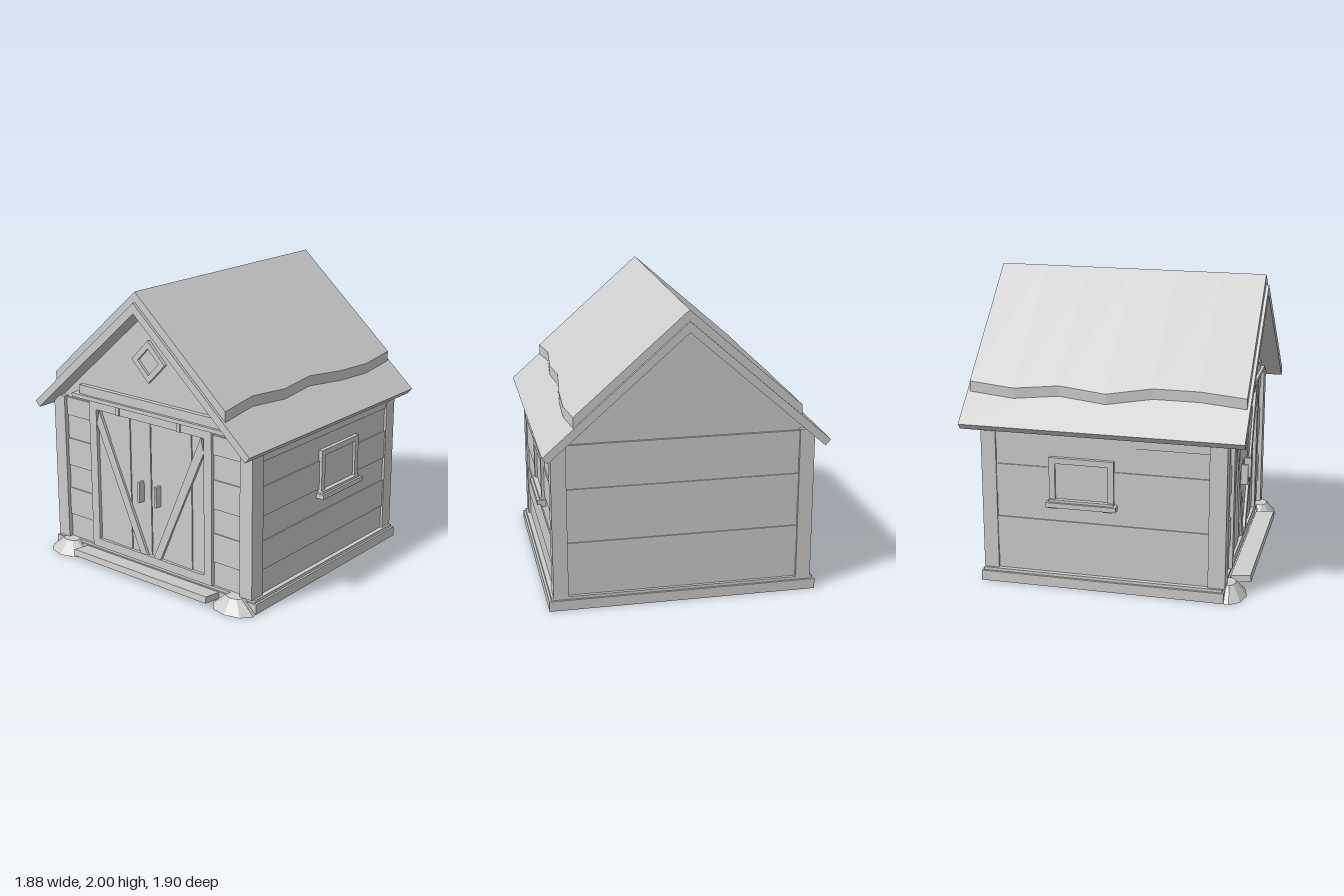
import * as THREE from 'three';

const grey = new THREE.MeshStandardMaterial({ color: 0xcccccc, flatShading: true });
grey.name = 'plain grey';

const SLOPE = 0.878;

function add(parent, name, geometry) {
  const mesh = new THREE.Mesh(geometry, grey);
  mesh.name = name;
  parent.add(mesh);
  return mesh;
}

// Box from its limits on each axis
function box(parent, name, x0, x1, y0, y1, z0, z1) {
  const mesh = add(parent, name, new THREE.BoxGeometry(Math.abs(x1 - x0), y1 - y0, Math.abs(z1 - z0)));
  mesh.position.set((x0 + x1) / 2, (y0 + y1) / 2, (z0 + z1) / 2);
  return mesh;
}

// Outline in x and y, extruded from z0 to z1
function prism(parent, name, points, z0, z1, hole) {
  const shape = new THREE.Shape(points.map(([x, y]) => new THREE.Vector2(x, y)));
  if (hole) shape.holes.push(new THREE.Path(hole.map(([x, y]) => new THREE.Vector2(x, y))));
  const geometry = new THREE.ExtrudeGeometry(shape, { depth: z1 - z0, bevelEnabled: false });
  const mesh = add(parent, name, geometry);
  mesh.position.z = z0;
  return mesh;
}

const rect = (x0, x1, y0, y1) => [[x0, y0], [x1, y0], [x1, y1], [x0, y1]];
const diamond = (r) => [[0, 1.515 - r], [r, 1.515], [0, 1.515 + r], [-r, 1.515]];

// Thick upper roof layer: cross-sections along z, with a wavy lower edge on each side
function upperRoof(zs, left, right) {
  const positions = [];
  const index = [];
  zs.forEach((z, i) => {
    const l = left[i], r = right[i];
    positions.push(-l, 1.925 - SLOPE * l, z, -l, 2 - SLOPE * l, z, 0, 2, z,
      r, 2 - SLOPE * r, z, r, 1.925 - SLOPE * r, z, 0, 1.925, z);
  });
  const n = 6;
  for (let i = 0; i < zs.length - 1; i++) {
    for (let j = 0; j < n; j++) {
      const a = i * n + j, b = i * n + (j + 1) % n;
      index.push(a, b + n, b, a, a + n, b + n);
    }
  }
  const e = (zs.length - 1) * n;
  for (const [a, b, c] of [[0, 1, 2], [0, 2, 5], [5, 2, 3], [5, 3, 4]]) {
    index.push(a, b, c, e + a, e + c, e + b);
  }
  const geometry = new THREE.BufferGeometry();
  geometry.setAttribute('position', new THREE.Float32BufferAttribute(positions, 3));
  geometry.setIndex(index);
  const flat = geometry.toNonIndexed();
  flat.computeVertexNormals();
  return flat;
}

export function createModel() {
  const model = new THREE.Group();
  model.name = 'shed';

  // Foundation and walls with both gables
  box(model, 'foundation', -0.905, 0.905, 0, 0.07, -0.835, 0.815);
  box(model, 'foundationTop', -0.89, 0.89, 0.07, 0.09, -0.82, 0.805);
  prism(model, 'walls', [[-0.85, 0.08], [0.85, 0.08], [0.85, 1.13], [0, 1.875], [-0.85, 1.13]], -0.79, 0.78);

  // Wall boards, every second one slightly proud
  const rows = [0.09, 0.26, 0.46, 0.63, 0.83, 1.0, 1.13];
  for (let i = 0; i < rows.length - 1; i++) {
    const y0 = rows[i], y1 = rows[i + 1];
    const t = i % 2 ? 0.016 : 0.008;
    for (const s of [-1, 1]) {
      box(model, 'sideBoard', s * 0.84, s * (0.85 + t), y0, Math.min(y1, 1.11), -0.76, 0.76);
      box(model, 'frontBoard', s * 0.5, s * 0.8, y0, y1, 0.77, 0.78 + t);
    }
    box(model, 'backBoard', -0.8, 0.8, y0, y1, -0.79 - t, -0.78);
  }

  // Corner posts
  for (const s of [-1, 1]) {
    box(model, 'frontPost', s * 0.775, s * 0.875, 0.09, 1.14, 0.705, 0.82);
    box(model, 'backPost', s * 0.775, s * 0.875, 0.09, 1.14, -0.82, -0.72);
  }

  // Roof deck
  prism(model, 'roofDeck', [[0, 1.93], [-0.94, 1.105], [-0.905, 1.065], [0, 1.86], [0.905, 1.065], [0.94, 1.105]],
    -0.95, 0.935);
  const upper = upperRoof(
    [-0.93, -0.62, -0.32, 0, 0.3, 0.61, 0.915],
    [0.745, 0.77, 0.74, 0.77, 0.722, 0.722, 0.745],
    [0.738, 0.76, 0.747, 0.714, 0.732, 0.708, 0.735]);
  add(model, 'upperRoof', upper);

  // Door surround and double door
  const door = new THREE.Group();
  door.name = 'door';
  model.add(door);
  prism(door, 'doorFrame', rect(-0.54, 0.54, 0.09, 1.16), 0.77, 0.815, rect(-0.475, 0.475, 0.15, 1.1));
  const edges = [0.002, 0.18, 0.36, 0.475];
  for (const s of [-1, 1]) {
    for (let i = 0; i < 3; i++) {
      box(door, 'doorBoard', s * (edges[i] + 0.002), s * (edges[i + 1] - 0.002), 0.15, 1.1, 0.77, i === 1 ? 0.797 : 0.792);
    }
    const brace = [[0.45, 1.1], [0.475, 1.0], [0.08, 0.16], [0.095, 0.15], [0.025, 0.15], [0.045, 0.165]];
    const outline = [[0.45, 1.1], [0.475, 1.0], [0.09, 0.15], [0.03, 0.15]];
    outline.length = brace.length > 4 ? 4 : outline.length;
    prism(door, 'doorBrace', outline.map(([x, y]) => [s * x, y]), 0.78, 0.812);
    box(door, 'doorHandle', s * 0.065, s * 0.085, 0.53, 0.675, 0.79, 0.84);
    box(door, 'doorHanger', s * 0.255, s * 0.285, 1.1, 1.17, 0.79, 0.825);
  }
  box(door, 'doorRail', -0.685, 0.685, 1.16, 1.187, 0.77, 0.835);
  box(door, 'doorHeader', -0.63, 0.63, 1.187, 1.25, 0.77, 0.815);

  // Gable vent
  prism(model, 'ventFrame', diamond(0.143), 0.77, 0.805, diamond(0.09));
  prism(model, 'ventPanel', diamond(0.095), 0.77, 0.787);

  // Side windows with sill and brackets
  for (const s of [-1, 1]) {
    const a = s * 0.84;
    const win = new THREE.Group();
    win.name = s > 0 ? 'leftWindow' : 'rightWindow';
    model.add(win);
    box(win, 'windowPane', a, s * 0.868, 0.61, 0.88, -0.33, 0.06);
    box(win, 'windowTop', a, s * 0.885, 0.865, 0.905, -0.355, 0.08);
    box(win, 'windowJamb', a, s * 0.885, 0.6, 0.865, 0.04, 0.08);
    box(win, 'windowJamb', a, s * 0.885, 0.6, 0.865, -0.355, -0.315);
    box(win, 'windowBottom', a, s * 0.9, 0.6, 0.62, -0.355, 0.08);
    box(win, 'windowSill', a, s * 0.917, 0.57, 0.603, -0.37, 0.1);
    for (const z of [0.04, -0.335]) {
      box(win, 'sillBracket', a, s * 0.89, 0.555, 0.575, z - 0.028, z + 0.028);
    }
  }

  // Sloping doorstep
  const step = box(model, 'doorstep', -0.6, 0.6, 0.03, 0.075, 0.79, 0.95);
  step.rotation.x = -0.12;
  step.position.y = 0.05;

  // Faceted mounds at the front corners
  for (const s of [-1, 1]) {
    const mound = add(model, 'cornerMound', new THREE.CylinderGeometry(0.065, 0.17, 0.09, 9));
    mound.scale.z = 0.68;
    mound.position.set(s * 0.745, 0.045, 0.83);
  }
  return model;
}
